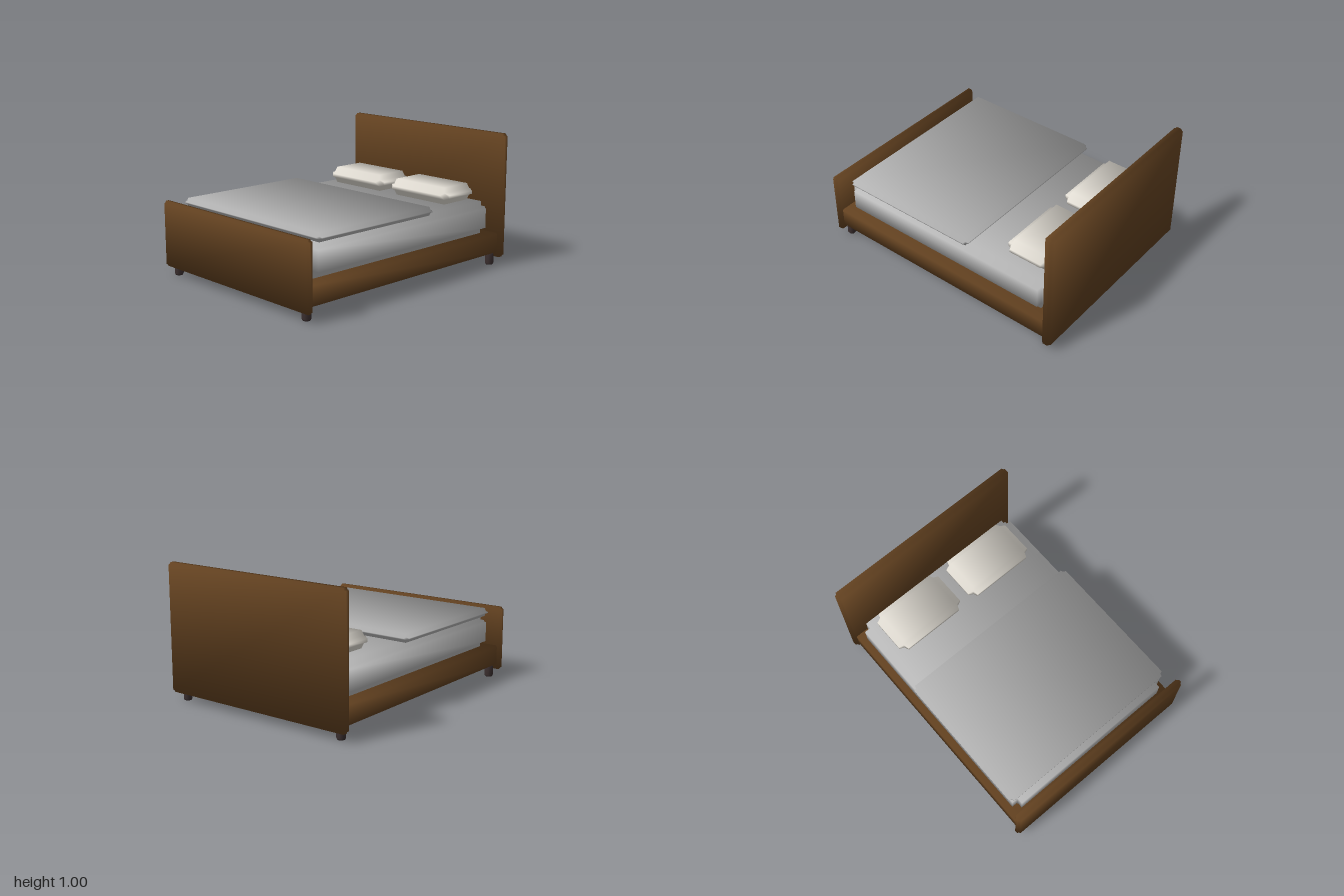
import * as THREE from 'three';

const material = (name, color) => {
  const m = new THREE.MeshStandardMaterial({ color });
  m.name = name;
  return m;
};

// Soft-shaded box whose edges are scalloped inward by r; k = 1 gives a square notch.
function scallopedBox(w, h, d, r, k) {
  const half = [w / 2, h / 2, d / 2];
  const pos = [], nor = [];
  const facePoint = (axis, s) => ({ s, p: half.map((v, i) => s[i] * (v - (i === axis ? 0 : r))) });
  const notchPoint = (s) => ({ s, p: half.map((v, i) => s[i] * (v - k * r)) });
  const va = new THREE.Vector3(), vb = new THREE.Vector3(), vc = new THREE.Vector3();

  // Adds a quad turned to face the given axis direction
  const quad = (corners, axis, sign) => {
    va.fromArray(corners[0].p);
    vb.fromArray(corners[1].p).sub(va);
    vc.fromArray(corners[2].p).sub(va);
    const n = vb.cross(vc).getComponent(axis);
    const c = n * sign < 0 ? [...corners].reverse() : corners;
    for (const i of [0, 1, 2, 0, 2, 3]) {
      pos.push(...c[i].p);
      nor.push(...c[i].s.map((v) => v / Math.sqrt(3)));
    }
  };
  const signs = (a, sa, b, sb, c, sc) => {
    const s = [0, 0, 0];
    s[a] = sa; s[b] = sb; s[c] = sc;
    return s;
  };

  for (let a = 0; a < 3; a++) {
    const b = (a + 1) % 3, c = (a + 2) % 3;
    for (const sa of [-1, 1]) {
      // Flat face
      quad([[-1, -1], [1, -1], [1, 1], [-1, 1]]
        .map(([sb, sc]) => facePoint(a, signs(a, sa, b, sb, c, sc))), a, sa);
      // Both walls of each scalloped edge along axis c
      for (const sb of [-1, 1]) {
        const s0 = signs(a, sa, b, sb, c, -1), s1 = signs(a, sa, b, sb, c, 1);
        quad([facePoint(a, s0), facePoint(a, s1), notchPoint(s1), notchPoint(s0)], b, sb);
        quad([facePoint(b, s0), facePoint(b, s1), notchPoint(s1), notchPoint(s0)], a, sa);
      }
    }
  }
  const g = new THREE.BufferGeometry();
  g.setAttribute('position', new THREE.Float32BufferAttribute(pos, 3));
  g.setAttribute('normal', new THREE.Float32BufferAttribute(nor, 3));
  return g;
}

export function createModel() {
  const bed = new THREE.Group();
  bed.name = 'bed';
  const wood = material('brown wood', 0x654321);
  const darkWood = material('dark wood', 0x3b2f2f);
  const sheet = material('grey mattress', 0xc0c0c0);
  const cover = material('grey quilt', 0xb8b8b8);
  const linen = material('off-white linen', 0xf5f0e6);

  // Places a scalloped box by its lower and upper limits
  const block = (name, mat, x, y, z, r, k) => {
    const mesh = new THREE.Mesh(
      scallopedBox(x[1] - x[0], y[1] - y[0], z[1] - z[0], r, k), mat);
    mesh.position.set((x[0] + x[1]) / 2, (y[0] + y[1]) / 2, (z[0] + z[1]) / 2);
    mesh.name = name;
    bed.add(mesh);
  };

  // Frame
  block('base', wood, [-0.755, 0.755], [0.1, 0.25], [-0.95, 0.96], 0.008, 0.8);
  block('headboard', wood, [-0.78, 0.78], [0.06, 1.0], [-1, -0.93], 0.019, 0.75);
  block('footboard', wood, [-0.78, 0.78], [0.06, 0.55], [0.945, 1], 0.017, 0.75);

  // Bedding
  block('mattress', sheet, [-0.71, 0.71], [0.25, 0.495], [-0.89, 0.895], 0.048, 1);
  block('quilt', cover, [-0.73, 0.73], [0.495, 0.557], [-0.245, 0.86], 0.027, 0.8);
  for (const [name, side] of [['leftPillow', 1], ['rightPillow', -1]]) {
    const x = [side * 0.04, side * 0.615].sort((p, q) => p - q);
    block(name, linen, x, [0.5, 0.625], [-0.84, -0.485], 0.05, 0.75);
  }

  // Feet
  const profile = [[0, 0], [0.026, 0], [0.033, 0.012], [0.033, 0.08], [0.026, 0.1], [0, 0.1]]
    .map(([r, y]) => new THREE.Vector2(r, y));
  const footGeometry = new THREE.LatheGeometry(profile, 8, Math.PI / 8);
  for (const x of [-0.695, 0.695]) {
    for (const z of [-0.92, 0.937]) {
      const foot = new THREE.Mesh(footGeometry, darkWood);
      foot.name = (z > 0 ? 'front' : 'back') + (x > 0 ? 'Left' : 'Right') + 'Foot';
      foot.position.set(x, 0, z);
      bed.add(foot);
    }
  }
  return bed;
}
